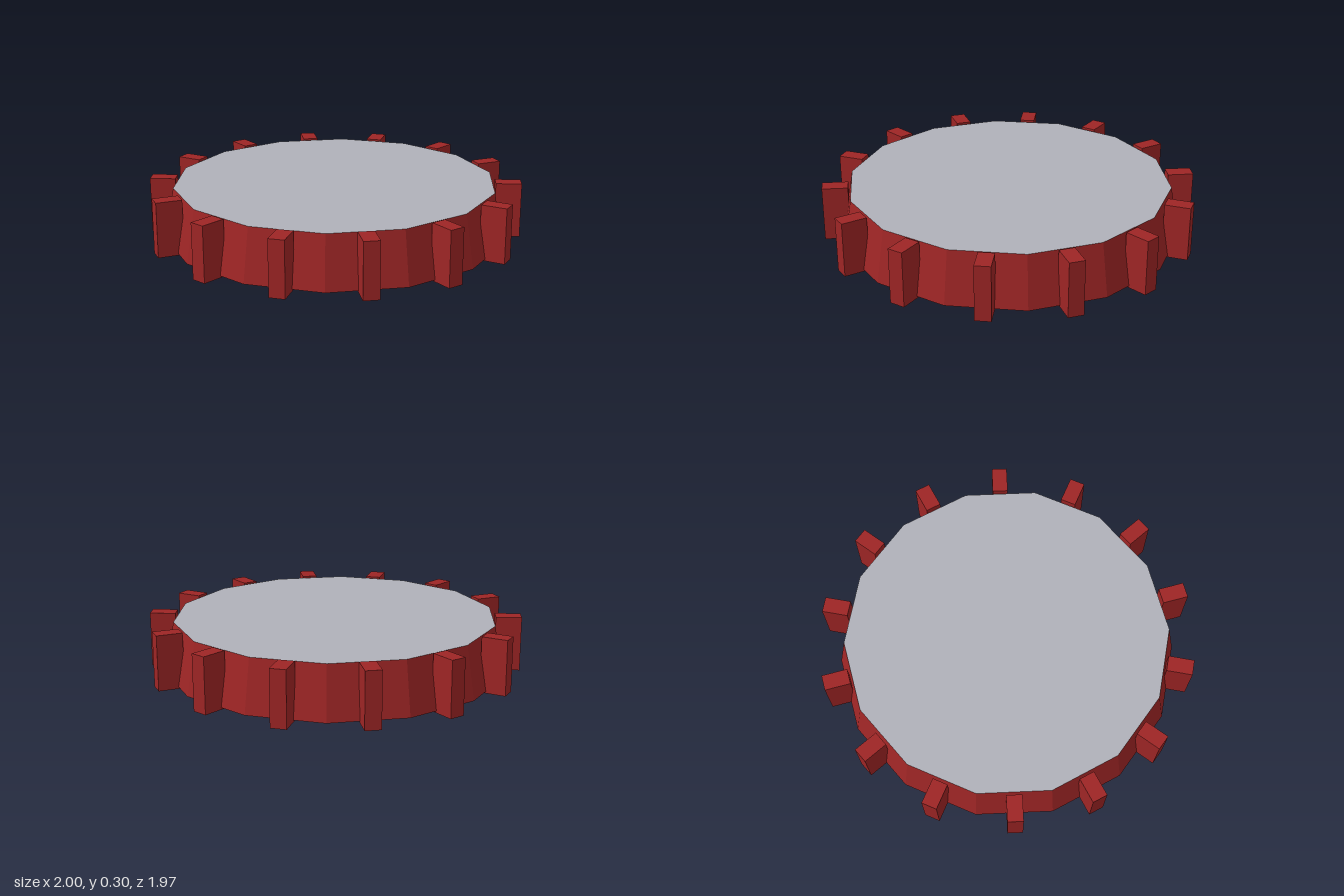
import * as THREE from 'three';

export function createModel() {
  const SIDES = 14;
  const red = new THREE.MeshStandardMaterial({ color: 0x9e2525 });
  red.name = 'darkRed';
  red.flatShading = true;
  const grey = new THREE.MeshStandardMaterial({ color: 0xb0b1b9 });
  grey.name = 'lightGrey';
  grey.flatShading = true;

  const group = new THREE.Group();
  group.name = 'toothedDisc';

  // Tapered body: red wall and base, grey top face
  const body = new THREE.Mesh(
    new THREE.CylinderGeometry(0.868, 0.918, 0.28, SIDES),
    [red, grey, red]
  );
  body.name = 'body';
  body.position.y = 0.15;
  group.add(body);

  // One upright tooth in the middle of each side
  const teeth = new THREE.Group();
  teeth.name = 'teeth';
  const toothGeometry = new THREE.BoxGeometry(0.138, 0.296, 0.083);
  for (let i = 0; i < SIDES; i++) {
    const angle = (i / SIDES) * Math.PI * 2;
    const tooth = new THREE.Mesh(toothGeometry, red);
    tooth.name = 'tooth';
    tooth.position.set(Math.cos(angle) * 0.931, 0.148, -Math.sin(angle) * 0.931);
    tooth.rotation.y = angle;
    teeth.add(tooth);
  }
  group.add(teeth);

  return group;
}
